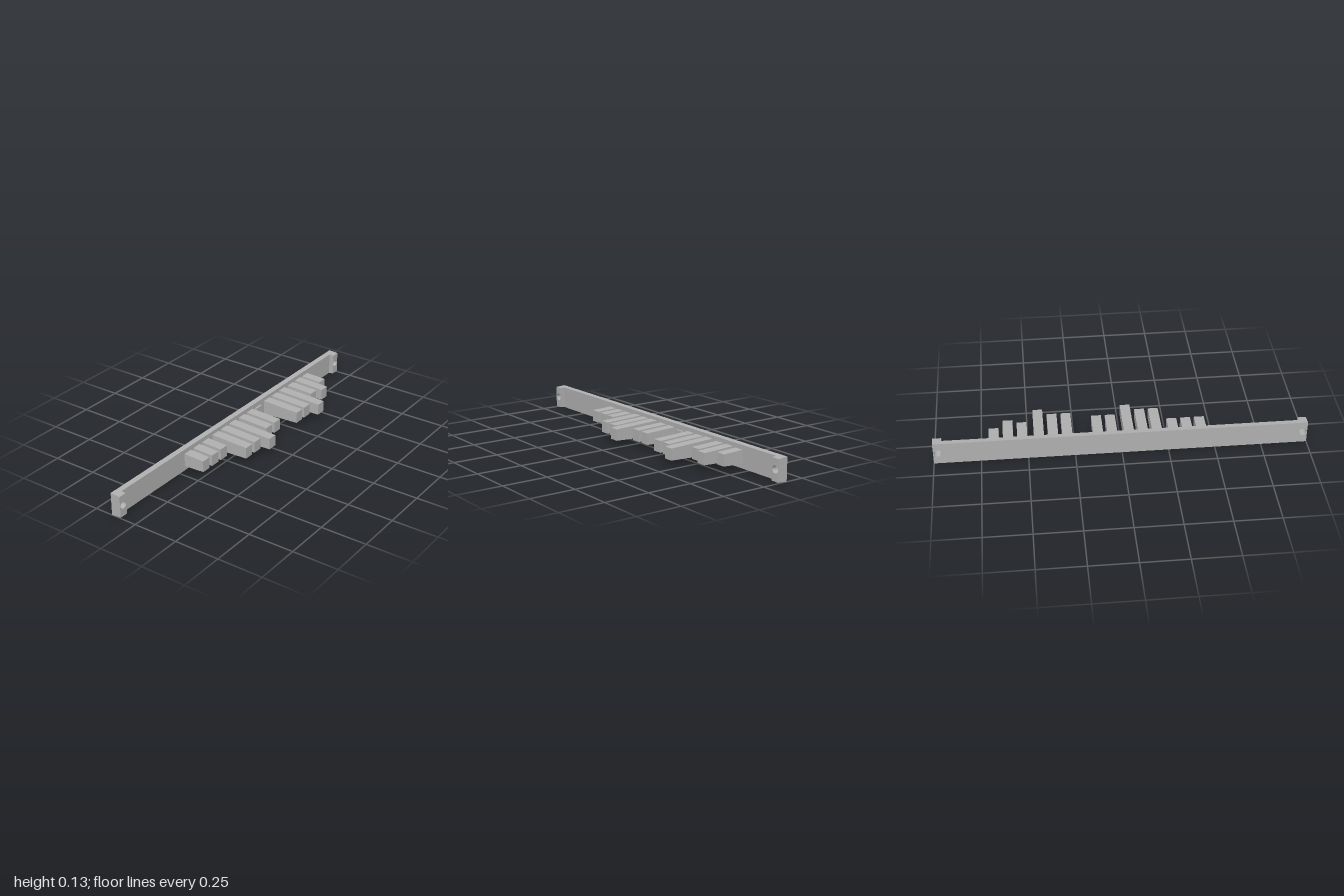
import * as THREE from 'three';

const BACK = -0.148, PLATE_FRONT = -0.118, TAB_FRONT = -0.092;
const MID_Y = 0.0635;

// Rectangular slab with round bolt holes, its top and bottom slightly drafted toward the front
function slab(x0, x1, z0, z1, holes) {
  const h = 0.0635;
  const shape = new THREE.Shape([[x0, -h], [x1, -h], [x1, h], [x0, h]].map(p => new THREE.Vector2(...p)));
  for (const x of holes) {
    shape.holes.push(new THREE.Path().absarc(x, 0.002, 0.021, 0, Math.PI * 2, true));
  }
  const geo = new THREE.ExtrudeGeometry(shape, { depth: z1 - z0, bevelEnabled: false, curveSegments: 12 });
  geo.translate(0, 0, z0);
  const pos = geo.attributes.position;
  for (let i = 0; i < pos.count; i++) {
    const k = 1 - 1.15 * (pos.getZ(i) - BACK);
    pos.setY(i, MID_Y + pos.getY(i) * k);
  }
  geo.computeVertexNormals();
  return geo;
}

// Tooth with a fixed tip height that thickens toward its root
function tooth(x, tip) {
  const root = PLATE_FRONT - 0.004, length = tip - root;
  const geo = new THREE.BoxGeometry(0.054, 0.063, length);
  const pos = geo.attributes.position;
  for (let i = 0; i < pos.count; i++) {
    if (pos.getZ(i) < 0) pos.setY(i, pos.getY(i) + Math.sign(pos.getY(i)) * length * 0.04);
  }
  geo.translate(x, 0.064, (root + tip) / 2);
  geo.computeVertexNormals();
  return geo;
}

export function createModel() {
  const model = new THREE.Group();
  model.name = 'toothedBar';
  const grey = new THREE.MeshStandardMaterial({ color: 0xb0b0b0 });
  grey.name = 'grey';
  const add = (name, geo) => {
    const mesh = new THREE.Mesh(geo, grey);
    mesh.name = name;
    model.add(mesh);
  };

  // Back plate and the raised mounting pads at its ends
  add('backPlate', slab(-1, 1, BACK, PLATE_FRONT, [-0.976, 0.976]));
  add('rightMountingPad', slab(-1, -0.953, PLATE_FRONT, TAB_FRONT, [-0.976]));
  add('leftMountingPad', slab(0.953, 1, PLATE_FRONT, TAB_FRONT, [0.976]));

  // Teeth in groups of three, listed by the z of each tip
  const tips = [
    [0.003, 0.003, 0.003],
    [0.103, 0.103, 0.148],
    [0.066, 0.066, -0.107],
    [0.103, 0.103, 0.148],
    [0.042, 0.066, 0.003],
  ];
  tips.forEach((group, g) => group.forEach((tip, i) => {
    add(`tooth${g * 3 + i + 1}`, tooth(-0.432 + g * 0.24 + i * 0.0755, tip));
  }));
  return model;
}
